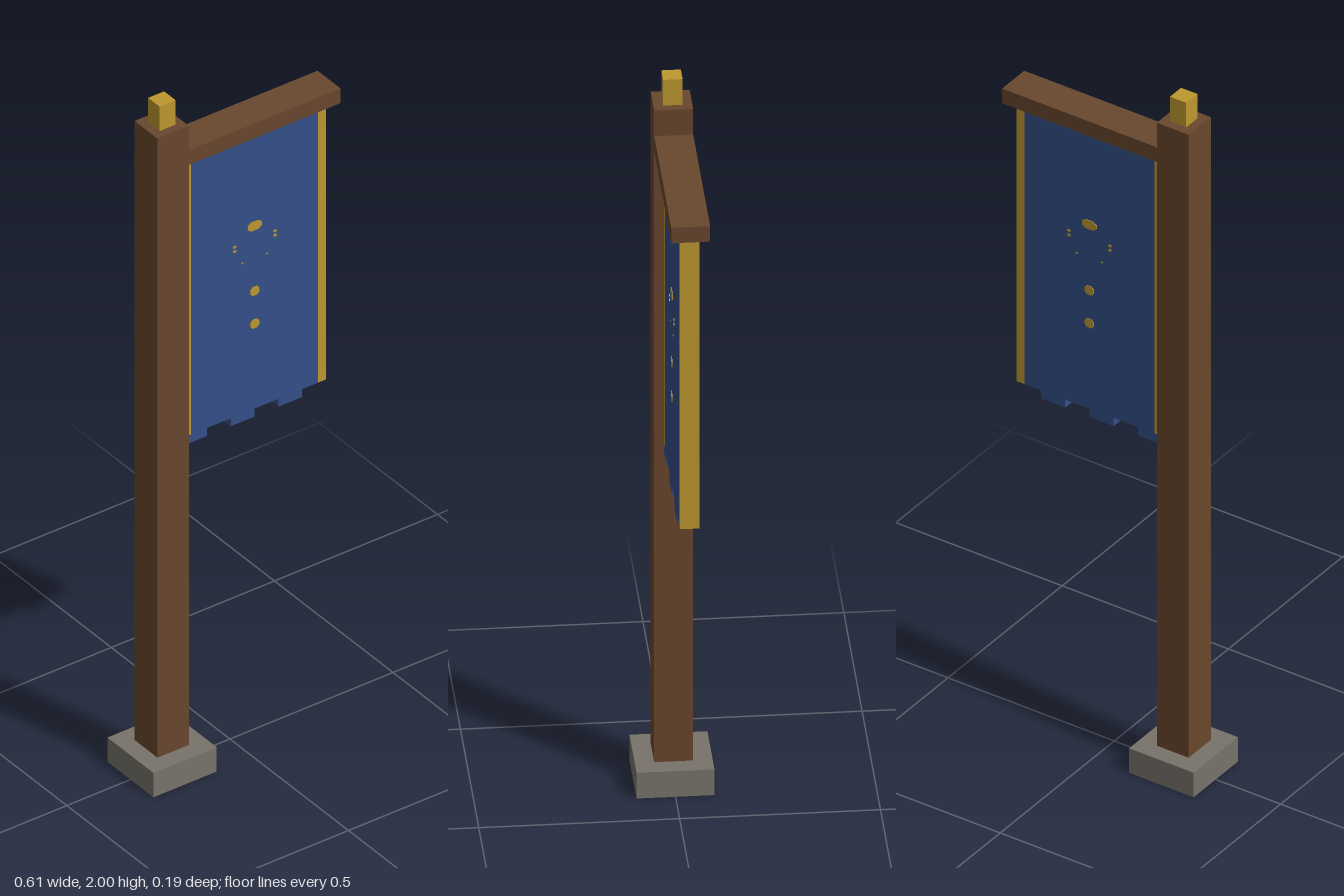
import * as THREE from 'three';

const mat = (name, color) => {
  const m = new THREE.MeshStandardMaterial({ color });
  m.name = name;
  return m;
};

export function createModel() {
  const wood = mat('brown wood', 0x69472d);
  const gold = mat('gold', 0xbd982e);
  const stone = mat('grey stone', 0x78736b);
  const cloth = mat('blue cloth', 0x344f88);
  const root = new THREE.Group();
  root.name = 'bannerPost';

  // Box from its x range, y range and half depth
  const box = (name, x0, x1, y0, y1, halfZ, material) => {
    const mesh = new THREE.Mesh(new THREE.BoxGeometry(x1 - x0, y1 - y0, halfZ * 2), material);
    mesh.position.set((x0 + x1) / 2, (y0 + y1) / 2, 0);
    mesh.name = name;
    root.add(mesh);
  };

  // Post, footing, finial and cross beam
  box('base', -0.305, -0.111, 0, 0.073, 0.097, stone);
  box('post', -0.257, -0.161, 0.073, 1.927, 0.0485, wood);
  box('finial', -0.233, -0.184, 1.927, 2, 0.0243, gold);
  box('crossBeam', -0.161, 0.304, 1.81, 1.854, 0.0485, wood);

  // Banner with gold edges and a notched hem
  box('bannerCloth', -0.137, 0.253, 0.98, 1.81, 0.0243, cloth);
  box('leftTrim', 0.253, 0.277, 0.98, 1.81, 0.0243, gold);
  box('rightTrim', -0.161, -0.137, 0.98, 1.81, 0.0243, gold);
  for (let i = 0; i < 3; i++) {
    const x = -0.161 + i * 0.146;
    box('hemTab', x, x + 0.073, 0.956, 0.98, 0.0243, cloth);
  }

  // Emblem: small clipped plates on both faces of the cloth
  const plate = (x, y, w, h) => {
    const a = w / 2, b = h / 2;
    const shape = new THREE.Shape([
      [-a, -b * 0.4], [-a * 0.5, -b], [a * 0.5, -b], [a, -b * 0.4],
      [a, b * 0.4], [a * 0.5, b], [-a * 0.5, b], [-a, b * 0.4],
    ].map(([px, py]) => new THREE.Vector2(px, py)));
    const geometry = new THREE.ExtrudeGeometry(shape, { depth: 0.002, bevelEnabled: false });
    for (const side of [1, -1]) {
      const mesh = new THREE.Mesh(geometry, gold);
      mesh.position.set(x, y, side * 0.024);
      if (side < 0) mesh.rotation.y = Math.PI;
      mesh.name = 'emblemPlate';
      root.add(mesh);
    }
  };
  plate(0.058, 1.528, 0.044, 0.026);
  plate(0.058, 1.333, 0.028, 0.026);
  plate(0.058, 1.235, 0.028, 0.026);
  for (const s of [-1, 1]) {
    plate(0.058 + s * 0.062, 1.488, 0.01, 0.007);
    plate(0.058 + s * 0.062, 1.475, 0.01, 0.007);
    plate(0.058 + s * 0.038, 1.43, 0.005, 0.005);
  }
  return root;
}
